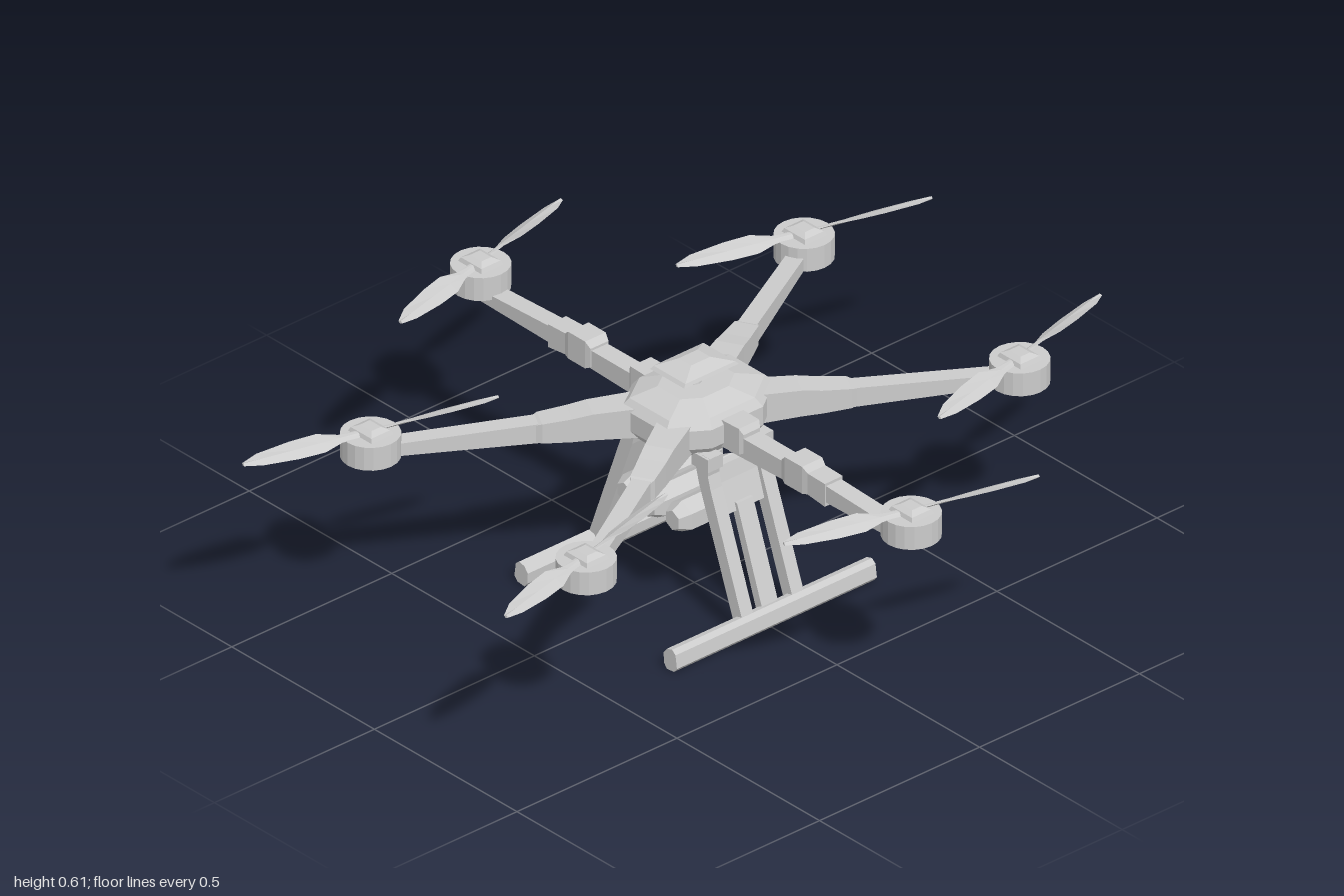
import * as THREE from 'three';

const material = new THREE.MeshStandardMaterial({ color: 0xcccccc, flatShading: true, side: THREE.DoubleSide });

function add(parent, name, geometry, x = 0, y = 0, z = 0) {
  const mesh = new THREE.Mesh(geometry, material);
  mesh.name = name;
  mesh.position.set(x, y, z);
  parent.add(mesh);
  return mesh;
}

// Joins rings of [x, y, z] points, each counterclockwise about the direction of advance, and caps the ends
function loft(rings) {
  const out = [];
  const tri = (a, b, c) => out.push(...a, ...b, ...c);
  const n = rings[0].length;
  for (let i = 0; i < rings.length - 1; i++) {
    for (let j = 0; j < n; j++) {
      const k = (j + 1) % n;
      tri(rings[i][j], rings[i][k], rings[i + 1][k]);
      tri(rings[i][j], rings[i + 1][k], rings[i + 1][j]);
    }
  }
  const first = rings[0], last = rings[rings.length - 1];
  for (let j = 1; j < n - 1; j++) {
    tri(first[0], first[j + 1], first[j]);
    tri(last[0], last[j], last[j + 1]);
  }
  const g = new THREE.BufferGeometry();
  g.setAttribute('position', new THREE.Float32BufferAttribute(out, 3));
  g.computeVertexNormals();
  return g;
}

// Beam along +x; each section is [x, bottom, top, half width]
const beam = (sections) => loft(sections.map(([x, b, t, w]) =>
  [[x, b, -w], [x, t, -w], [x, t, w], [x, b, w]]));

// Stacked rectangles along +y; each level is [y, half x, half z]
const stack = (levels) => loft(levels.map(([y, w, d]) =>
  [[-w, y, d], [w, y, d], [w, y, -d], [-w, y, -d]]));

// Side profile in x/y, extruded along z about z = 0
function profile(points, depth) {
  const shape = new THREE.Shape(points.map(([x, y]) => new THREE.Vector2(x, y)));
  return new THREE.ExtrudeGeometry(shape, { depth, bevelEnabled: false }).translate(0, 0, -depth / 2);
}

// Pitched propeller blade along +x; sections are [x, front edge, back edge, pitch]
function bladeGeometry() {
  const sections = [
    [0.0, 0.010, -0.010, 0.30], [0.08, 0.012, -0.012, 0.45], [0.13, 0.030, -0.026, 0.42],
    [0.20, 0.030, -0.026, 0.36], [0.29, 0.022, -0.018, 0.28], [0.335, 0.006, -0.006, 0.20]];
  return loft(sections.map(([x, f, b, p]) => {
    const s = Math.sin(p), c = Math.cos(p), t = 0.004;
    return [[f, 0], [0, -t], [b, 0], [0, t]].map(([w, h]) => [x, w * s + h * c, w * c - h * s]);
  }));
}

function createRotor(x, y, z, lean) {
  const rotor = new THREE.Group();
  rotor.name = 'rotor';
  rotor.position.set(x, y, z);
  add(rotor, 'motor', new THREE.CylinderGeometry(0.072, 0.072, 0.062, 20), 0, 0.031, 0);
  add(rotor, 'hub', stack([[0.06, 0.042, 0.035], [0.072, 0.036, 0.03], [0.08, 0.02, 0.015]]));
  const blade = bladeGeometry();
  for (const half of [0, Math.PI]) {
    const mesh = add(rotor, 'blade', blade, 0, 0.066, 0);
    mesh.rotation.y = Math.PI / 2 - lean + half;
  }
  return rotor;
}

function createBody() {
  const body = new THREE.Group();
  body.name = 'body';
  const outline = [[0.08, 0.16], [0.14, 0.07], [0.14, -0.09], [0.07, -0.188],
    [-0.07, -0.188], [-0.14, -0.09], [-0.14, 0.07], [-0.08, 0.16]];
  const levels = [[0.43, 0.88], [0.455, 1], [0.505, 1], [0.527, 0.88], [0.548, 0.5]];
  add(body, 'shell', loft(levels.map(([y, s]) => outline.map(([x, z]) => [x * s, y, z * s]))));

  // Antenna on a short mast
  add(body, 'mast', new THREE.CylinderGeometry(0.011, 0.02, 0.05, 8), 0, 0.56, 0);
  add(body, 'antenna', stack([[0.57, 0.022, 0.03], [0.588, 0.06, 0.085], [0.596, 0.056, 0.078], [0.612, 0.022, 0.03]]));
  return body;
}

function createArm(x, z, isSide) {
  const arm = new THREE.Group();
  arm.name = isSide ? 'sideArm' : 'cornerArm';
  arm.rotation.y = Math.atan2(-z, x);
  const length = Math.hypot(x, z);
  if (isSide) {
    add(arm, 'root', beam([[0.1, 0.44, 0.515, 0.035], [0.19, 0.445, 0.515, 0.032], [0.2, 0.45, 0.5, 0.026]]));
    add(arm, 'boom', beam([[0.15, 0.435, 0.49, 0.026], [0.48, 0.443, 0.488, 0.024], [length, 0.447, 0.475, 0.024]]));
    // Folding joint
    add(arm, 'joint', beam([[0.335, 0.445, 0.495, 0.028], [0.35, 0.437, 0.51, 0.032],
      [0.41, 0.437, 0.51, 0.032], [0.425, 0.44, 0.497, 0.028], [0.485, 0.433, 0.495, 0.028]]));
  } else {
    add(arm, 'root', beam([[0.12, 0.435, 0.515, 0.042], [0.25, 0.44, 0.51, 0.036], [0.3, 0.44, 0.502, 0.034],
      [0.37, 0.443, 0.495, 0.03], [0.385, 0.445, 0.49, 0.023]]));
    add(arm, 'boom', beam([[0.3, 0.44, 0.495, 0.024], [length, 0.45, 0.48, 0.022]]));
  }
  return arm;
}

// Landing leg on the +x side
function createLeg() {
  const leg = new THREE.Group();
  leg.name = 'landingLeg';
  const strut = profile([[0.095, 0.44], [0.105, 0.405], [0.117, 0.36], [0.235, 0.045], [0.272, 0.045],
    [0.158, 0.355], [0.148, 0.39], [0.155, 0.44]], 0.036);
  for (const z of [-0.085, 0.072]) {
    add(leg, 'strut', strut, 0, 0, z);
    add(leg, 'clamp', new THREE.BoxGeometry(0.058, 0.035, 0.048), 0.126, 0.422, z);
  }
  add(leg, 'centreStrut', profile([[0.15, 0.30], [0.24, 0.04], [0.265, 0.04], [0.172, 0.30]], 0.05), 0, 0, -0.005);
  add(leg, 'bracePlate', profile([[0.115, 0.395], [0.124, 0.355], [0.152, 0.28], [0.17, 0.28],
    [0.146, 0.355], [0.137, 0.395]], 0.14), 0, 0, -0.006);
  const skid = profile([[0.24, 0.012], [0.25, 0], [0.275, 0.003], [0.285, 0.015], [0.28, 0.05],
    [0.268, 0.06], [0.25, 0.055], [0.238, 0.04]], 0.625);
  add(leg, 'skid', skid, 0, 0, -0.004);
  return leg;
}

export function createModel() {
  const model = new THREE.Group();
  model.name = 'hexacopter';
  model.add(createBody());

  // Arms and rotors: a pair at each side and four at the corners
  for (const side of [1, -1]) {
    for (const [x, y, z, lean] of [[0.755, 0.468, -0.005, 0.25], [0.378, 0.447, -0.68, -0.25], [0.378, 0.447, 0.675, -0.25]]) {
      model.add(createArm(x * side, z, x > 0.5));
      model.add(createRotor(x * side, y, z, lean * side));
    }
    const leg = createLeg();
    leg.scale.x = side;
    model.add(leg);
  }

  // Three faceted pods slung between the legs
  const pod = new THREE.LatheGeometry([[0, -0.145], [0.026, -0.145], [0.042, -0.115], [0.042, 0.115], [0.026, 0.145], [0, 0.145]]
    .map(([r, h]) => new THREE.Vector2(r, h)), 6).rotateX(Math.PI / 2);
  for (const x of [-0.085, 0, 0.085]) add(model, 'pod', pod, x, 0.265, 0);
  return model;
}
